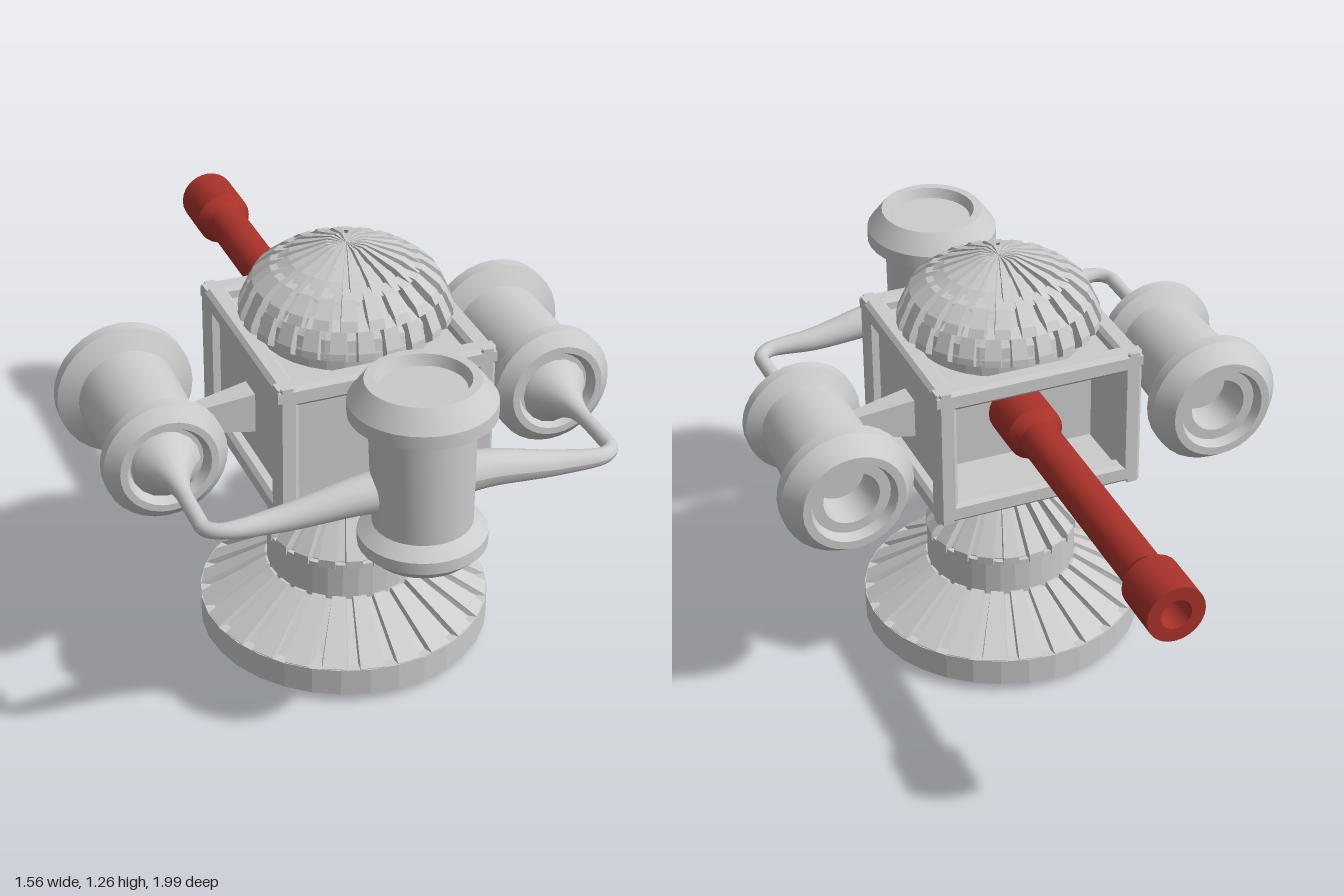
import * as THREE from 'three';
import { toCreasedNormals } from 'three/addons/utils/BufferGeometryUtils.js';

const CZ = 0.23; // z of the turret axis
const grey = new THREE.MeshStandardMaterial({ color: 0xcccccc, side: THREE.DoubleSide });
const greyFlat = new THREE.MeshStandardMaterial({ color: 0xcccccc, flatShading: true, side: THREE.DoubleSide });
const red = new THREE.MeshStandardMaterial({ color: 0xa8322a, side: THREE.DoubleSide });

const pts = (list) => list.map(([r, y]) => new THREE.Vector2(r, y));

function add(parent, name, geometry, material, x = 0, y = 0, z = 0) {
  const mesh = new THREE.Mesh(geometry, material);
  mesh.name = name;
  mesh.position.set(x, y, z);
  parent.add(mesh);
  return mesh;
}

const turned = (profile, segments = 32) =>
  toCreasedNormals(new THREE.LatheGeometry(pts(profile), segments), 0.5);

// Turned shape whose surface alternates between raised ribs and slots
function ribbed(profile, count, depth, share = 0.6, shift = 0) {
  const g = new THREE.LatheGeometry(pts(profile), count * 4);
  const p = g.attributes.position;
  const step = [0, share, share + 0.04, 0.96];
  for (let i = 0; i < p.count; i++) {
    const ring = Math.floor(i / profile.length);
    const k = ring % 4;
    const a = ((Math.floor(ring / 4) + step[k] + shift) / count) * Math.PI * 2;
    const [r0, y0] = profile[i % profile.length];
    const low = k > 1 ? depth : 0;
    const r = Math.max(0, r0 - low);
    p.setXYZ(i, r * Math.sin(a), y0 - low * 0.6, r * Math.cos(a));
  }
  g.computeVertexNormals();
  return g;
}

// Bevelled rectangular frame, its outer face at z = 0
function frameGeometry(w, h, border) {
  const bevel = 0.012;
  const rect = (S, a, b) => {
    const s = new S();
    s.moveTo(-a, -b); s.lineTo(a, -b); s.lineTo(a, b); s.lineTo(-a, b); s.closePath();
    return s;
  };
  const shape = rect(THREE.Shape, w / 2 - bevel, h / 2 - bevel);
  shape.holes.push(rect(THREE.Path, w / 2 - border, h / 2 - border));
  const g = new THREE.ExtrudeGeometry(shape, {
    depth: 0.03, bevelEnabled: true, bevelSize: bevel, bevelThickness: bevel, bevelSegments: 1,
  });
  return g.translate(0, 0, -0.03 - bevel);
}

// Framed panel on one side of the housing
function housingSide(parent, name, w, h, recess, position, rotation) {
  const side = new THREE.Group();
  side.name = name;
  add(side, name + 'Frame', frameGeometry(w, h, 0.05), greyFlat);
  add(side, name + 'Panel', new THREE.BoxGeometry(w - 0.07, h - 0.07, 0.02), greyFlat, 0, 0, -recess - 0.01);
  side.position.set(...position);
  side.rotation.set(...rotation);
  parent.add(side);
}

// Flanged drum from its small end to its large end
function addPod(parent, name, from, to, bore) {
  const end = bore ? [[0.085, 0.5], [0.08, 0.38], [0, 0.38]] : [[0, 0.5]];
  const mesh = add(parent, name, turned([
    [0, 0.03], [0.105, 0.03], [0.12, 0], [0.14, 0], [0.177, 0.035], [0.177, 0.07], [0.137, 0.1],
    [0.145, 0.4], [0.2, 0.43], [0.2, 0.47], [0.155, 0.53], [0.13, 0.53], [0.118, 0.5], ...end,
  ]), grey, ...from.toArray());
  mesh.quaternion.setFromUnitVectors(new THREE.Vector3(0, 1, 0), to.clone().sub(from).normalize());
}

// Curved arm, flared at both ends
function armGeometry(x, y) {
  const s = Math.sign(x);
  const curve = new THREE.CatmullRomCurve3([
    [x, y, 0.41], [x + s * 0.005, y + 0.01, 0.55], [x + s * 0.008, y + 0.01, 0.7],
    [x + s * 0.005, y + 0.01, 0.75], [x - s * 0.03, y + 0.012, 0.78],
    [s * 0.4, 0.5 * y + 0.402, 0.777], [s * 0.2, 0.815, 0.775], [s * 0.08, 0.82, 0.775],
  ].map((p) => new THREE.Vector3(...p)));
  const n = 64, sides = 16;
  const g = new THREE.TubeGeometry(curve, n, 1, sides);
  const v = new THREE.Vector3();
  for (let i = 0; i < g.attributes.position.count; i++) {
    const c = curve.getPointAt(Math.floor(i / (sides + 1)) / n);
    const flare = Math.max(0, (0.6 - c.z) / 0.2);
    const swell = Math.max(0, (0.57 - Math.abs(c.x)) / 0.42);
    const r = 0.022 + 0.085 * flare ** 2 + (c.z > 0.7 ? 0.035 * swell : 0);
    v.fromBufferAttribute(g.attributes.position, i).sub(c).multiplyScalar(r).add(c);
    g.attributes.position.setXYZ(i, v.x, v.y, v.z);
  }
  g.computeVertexNormals();
  return g;
}

export function createModel() {
  const model = new THREE.Group();
  model.name = 'turret';

  // Pedestal
  const pedestal = new THREE.Group();
  pedestal.name = 'pedestal';
  pedestal.position.z = CZ;
  model.add(pedestal);
  add(pedestal, 'pedestalCore', new THREE.LatheGeometry(pts([
    [0, 0.003], [0.428, 0.03], [0.428, 0.115], [0.4, 0.115], [0.215, 0.215], [0.228, 0.22], [0.228, 0.34],
    [0.2, 0.34], [0.09, 0.48], [0.09, 0.62],
  ]), 32), greyFlat);
  add(pedestal, 'lowerRibs', ribbed([[0.425, 0.11], [0.425, 0.117], [0.235, 0.23], [0.2, 0.23]], 24, 0.016, 0.65), greyFlat);
  add(pedestal, 'upperRibs', ribbed([[0.2, 0.33], [0.232, 0.33], [0.232, 0.355], [0.1, 0.507], [0.08, 0.507]], 18, 0.02), greyFlat);

  // Housing, with a deep opening at the back for the barrel
  const housing = new THREE.Group();
  housing.name = 'housing';
  housing.position.set(0, 0.82, CZ);
  model.add(housing);
  const H = Math.PI / 2;
  housingSide(housing, 'front', 0.64, 0.44, 0.035, [0, 0, 0.32], [0, 0, 0]);
  housingSide(housing, 'back', 0.64, 0.44, 0.24, [0, 0, -0.32], [0, Math.PI, 0]);
  housingSide(housing, 'left', 0.64, 0.44, 0.035, [0.32, 0, 0], [0, H, 0]);
  housingSide(housing, 'right', 0.64, 0.44, 0.035, [-0.32, 0, 0], [0, -H, 0]);
  housingSide(housing, 'top', 0.64, 0.64, 0.035, [0, 0.22, 0], [-H, 0, 0]);
  add(housing, 'floor', new THREE.BoxGeometry(0.616, 0.03, 0.616), greyFlat, 0, -0.205, 0);

  // Dome of three overlapping ribbed tiers
  const dome = new THREE.Group();
  dome.name = 'dome';
  dome.position.z = CZ;
  model.add(dome);
  add(dome, 'domeCore', new THREE.LatheGeometry(pts([
    [0.25, 1.0], [0.25, 1.05], [0.28, 1.06], [0.27, 1.11], [0.2, 1.19], [0.1, 1.24], [0, 1.25],
  ]), 32), greyFlat);
  const tiers = [
    [[0.25, 1.045], [0.302, 1.065], [0.3, 1.085], [0.275, 1.14], [0.24, 1.16]],
    [[0.22, 1.135], [0.276, 1.14], [0.262, 1.165], [0.212, 1.205], [0.17, 1.215]],
    [[0.15, 1.195], [0.207, 1.2], [0.16, 1.23], [0.055, 1.268], [0, 1.268]],
  ];
  tiers.forEach((t, i) => add(dome, 'domeTier', ribbed(t, 24 - i * 2, 0.022 - i * 0.003, 0.58, i / 2), greyFlat));

  // Pods and the arms joining them
  const V = (x, y, z) => new THREE.Vector3(x, y, z);
  addPod(model, 'frontPod', V(-0.005, 0.622, 0.81), V(-0.008, 1.152, 0.79), false);
  addPod(model, 'leftPod', V(0.575, 0.775, 0.43), V(0.577, 0.755, -0.1), true);
  addPod(model, 'rightPod', V(-0.59, 0.79, 0.43), V(-0.58, 0.785, -0.1), true);
  add(model, 'leftArm', armGeometry(0.575, 0.765), grey);
  add(model, 'rightArm', armGeometry(-0.595, 0.79), grey);

  // Tapered brackets from the housing to each pod
  for (const [name, angle] of [['frontBracket', 0], ['leftBracket', H], ['rightBracket', -H]]) {
    const g = new THREE.CylinderGeometry(0.04, 0.075, 0.2, 4, 1).rotateY(Math.PI / 4);
    g.rotateX(H).scale(0.75, 1.2, 1).translate(0, 0, 0.37);
    add(model, name, g, greyFlat, 0, 0.8, CZ).rotation.y = angle;
  }

  // Barrel with breech collar and hollow muzzle
  const barrel = add(model, 'barrel', turned([
    [0, 0], [0.085, 0], [0.085, 0.15], [0.06, 0.185], [0.06, 0.905], [0.085, 0.94], [0.085, 1.1],
    [0.045, 1.1], [0.045, 0.98], [0, 0.98],
  ], 24), red, 0.002, 0.82, 0.1);
  barrel.quaternion.setFromUnitVectors(V(0, 1, 0), V(0.008, -0.004, -1.1).normalize());

  return model;
}
